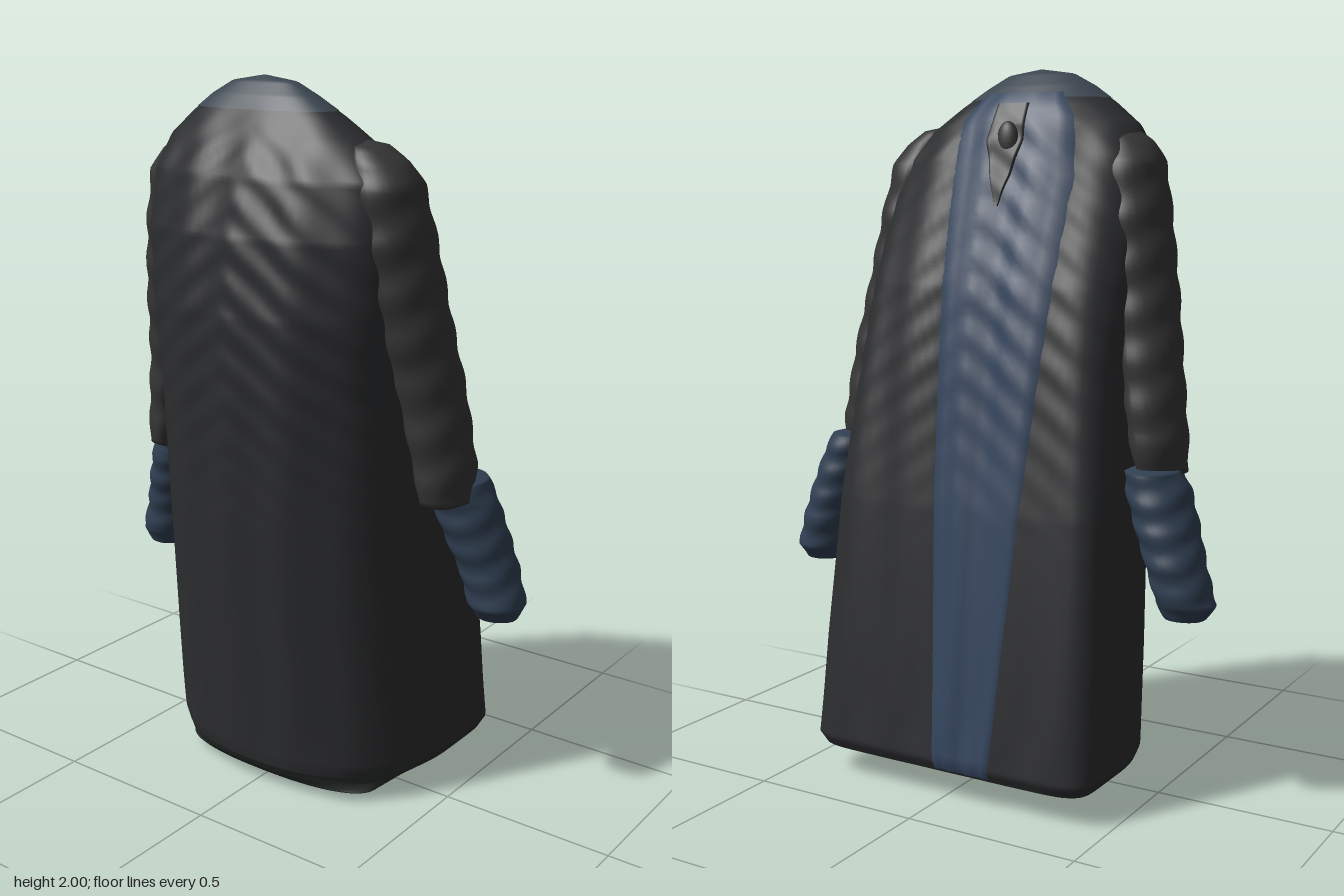
import * as THREE from 'three';

const charcoal = new THREE.MeshStandardMaterial({ color: 0x2c2d2f, side: THREE.DoubleSide });
const sleeveGrey = new THREE.MeshStandardMaterial({ color: 0x343534 });
const blue = new THREE.MeshStandardMaterial({ color: 0x34455e, side: THREE.DoubleSide });
const cuffBlue = new THREE.MeshStandardMaterial({ color: 0x303f52 });
const collarBlue = new THREE.MeshStandardMaterial({ color: 0x3c4650 });
const hemGreen = new THREE.MeshStandardMaterial({ color: 0x2a302d });

// Linear lookup in rows of [y, ...values]
function lookup(rows, y) {
  let i = 0;
  while (i < rows.length - 2 && y > rows[i + 1][0]) i++;
  const t = THREE.MathUtils.clamp((y - rows[i][0]) / (rows[i + 1][0] - rows[i][0]), 0, 1);
  return rows[i].map((v, k) => v + (rows[i + 1][k] - v) * t);
}

// Grid of points to an indexed surface; closed joins the last column to the first
function grid(rows, cols, closed, point) {
  const pos = [], idx = [], n = closed ? cols : cols + 1;
  for (let i = 0; i <= rows; i++)
    for (let j = 0; j < n; j++) pos.push(...point(i / rows, j / cols));
  for (let i = 0; i < rows; i++)
    for (let j = 0; j < cols; j++) {
      const k = (j + 1) % n, a = i * n + j, b = i * n + k;
      idx.push(a, a + n, b + n, a, b + n, b);
    }
  const g = new THREE.BufferGeometry();
  g.setAttribute('position', new THREE.Float32BufferAttribute(pos, 3));
  g.setIndex(idx);
  g.computeVertexNormals();
  return g;
}

// Coat outline: y, back x, front x, widest x, half width, centre z, front squareness
const coat = [
  [0, -0.17, -0.12, -0.15, 0.001, -0.02, 2],
  [0.006, -0.2, -0.09, -0.15, 0.24, 0.01, 2],
  [0.03, -0.24, -0.04, -0.13, 0.33, 0.01, 3],
  [0.055, -0.265, 0.15, 0, 0.38, 0, 5],
  [0.08, -0.28, 0.345, 0.12, 0.43, 0, 9],
  [0.11, -0.285, 0.36, 0.13, 0.445, 0, 9],
  [0.4, -0.31, 0.325, 0.11, 0.44, 0, 8],
  [0.8, -0.345, 0.275, 0.07, 0.425, 0, 7],
  [1.2, -0.37, 0.21, 0, 0.405, 0, 4.5],
  [1.4, -0.37, 0.17, -0.05, 0.41, 0, 3.4],
  [1.6, -0.345, 0.11, -0.1, 0.41, -0.005, 2.6],
  [1.75, -0.3, 0.06, -0.12, 0.39, -0.01, 2.2],
  [1.84, -0.25, 0.03, -0.125, 0.32, -0.03, 2],
  [1.9, -0.215, 0, -0.13, 0.24, -0.04, 2],
  [1.95, -0.185, -0.05, -0.13, 0.165, -0.045, 2],
  [1.985, -0.155, -0.09, -0.13, 0.1, -0.045, 2],
  [2, -0.13, -0.129, -0.13, 0.001, -0.045, 2],
];

// Shallow cloth folds: vertical pleats all over, chevrons on the upper half
function fold(y, z) {
  const { smoothstep } = THREE.MathUtils;
  const env = smoothstep(y, 0.05, 0.25) * (1 - smoothstep(y, 1.8, 1.95));
  const chevron = 0.003 * smoothstep(y, 0.6, 1.5) * Math.sin(60 * y + 45 * Math.abs(z));
  return env * (0.005 * Math.cos(36 * z + 0.8 * Math.sin(3 * y)) + chevron);
}

function coatPoint(y, a, grow) {
  const [, back, front, xc, w, zc, n] = lookup(coat, y);
  const c = Math.cos(a), s = Math.sin(a), p = c > 0 ? n : 2.35;
  const r = 1 / Math.pow(Math.abs(c) ** p + Math.abs(s) ** p, 1 / p);
  const z = zc + s * r * (w + grow);
  return [xc + c * r * ((c > 0 ? front - xc : xc - back) + grow + fold(y, z)), y, z];
}

// x of the coat front at a given height and z
function frontX(y, z) {
  const [, , front, xc, w, zc, n] = lookup(coat, y);
  const q = Math.min(1, Math.abs(z - zc) / w);
  return xc + Math.pow(1 - q ** n, 1 / n) * (front - xc + fold(y, z));
}

// Strip lying on the coat front, edges in rows of [y, z low, z high]
function frontStrip(edges, lift, ridges = 0) {
  const y0 = edges[0][0], y1 = edges[edges.length - 1][0];
  return grid(80, 16, false, (u, v) => {
    const y = y0 + (y1 - y0) * u, [, lo, hi] = lookup(edges, y);
    const z = lo + (hi - lo) * v;
    const edge = v === 0 || v === 1 ? -0.004 : lift;
    return [frontX(y, z) + edge + ridges * Math.cos(v * Math.PI * 6), y, z];
  });
}

// Limb from rows of [y, centre x, centre z, radius x, radius z], flatter on the body side
function limb(rows, side, ripple, pitch, inner) {
  const y0 = rows[0][0], y1 = rows[rows.length - 1][0];
  return grid(72, 32, true, (u, v) => {
    const y = y0 + (y1 - y0) * u, [, x, z, rx, rz] = lookup(rows, y);
    const a = v * Math.PI * 2, c = Math.cos(a), s = Math.sin(a);
    const k = 1 + ripple * Math.sin(pitch * y + 4 * Math.abs(c));
    return [x + rx * c * k, y, side * z + rz * s * k * (s * side < 0 ? inner : 1)];
  });
}

export function createModel() {
  const model = new THREE.Group();
  const add = (name, geometry, material) => {
    const m = new THREE.Mesh(geometry, material);
    m.name = name;
    model.add(m);
    return m;
  };
  const coatSpan = (y0, y1, rows, grow) =>
    grid(rows, 112, true, (u, v) => coatPoint(y0 + (y1 - y0) * u, v * Math.PI * 2, grow));

  // Long coat, its underside and the collar cap
  add('coatBody', coatSpan(0.08, 1.92, 190, 0), charcoal);
  add('underside', coatSpan(0, 0.08, 32, 0), hemGreen);
  add('collar', coatSpan(1.915, 2, 24, 0.003), collarBlue);

  // Blue front panel narrowing towards the hem
  add('frontPanel', frontStrip([
    [0.09, -0.16, 0.02], [0.8, -0.21, 0.07], [1.3, -0.24, 0.1], [1.7, -0.25, 0.13], [1.86, -0.22, 0.14], [1.93, -0.17, 0.09],
  ], 0.006, 0.002), blue);

  // Dark neck opening with a knot
  add('neckOpening', frontStrip([[1.62, -0.04, -0.03], [1.8, -0.09, 0.03], [1.9, -0.085, 0.02]], 0.011), charcoal);
  const knot = add('neckKnot', new THREE.SphereGeometry(1, 20, 14), sleeveGrey);
  knot.scale.set(0.025, 0.06, 0.035);
  knot.position.set(0.04, 1.79, -0.035);

  // Sleeves from the shoulders, and blue cuffs with closed hands
  for (const side of [1, -1]) {
    const label = side > 0 ? 'left' : 'right';
    const back = side > 0 ? 0 : -0.025, drop = side > 0 ? 0 : -0.03;
    add(label + 'Sleeve', limb([
      [0.88, -0.03, 0.47, 0.001, 0.001], [0.9, -0.025, 0.475, 0.1, 0.075], [1, -0.02, 0.46, 0.11, 0.09],
      [1.2, -0.04, 0.425, 0.11, 0.1], [1.4, -0.075, 0.39, 0.12, 0.1], [1.6, -0.1, 0.355, 0.125, 0.1],
      [1.74, -0.115, 0.33, 0.11, 0.1], [1.8, -0.12, 0.305, 0.085, 0.085], [1.84, -0.12, 0.28, 0.05, 0.05],
      [1.85, -0.12, 0.27, 0.001, 0.001],
    ], side, 0.03, 50, 0.6), sleeveGrey);
    add(label + 'Cuff', limb([
      [0.55, 0.075, 0.59, 0.001, 0.001], [0.56, 0.075, 0.59, 0.055, 0.06], [0.6, 0.075, 0.59, 0.08, 0.085],
      [0.7, 0.075, 0.56, 0.09, 0.085], [0.8, 0.06, 0.525, 0.1, 0.09], [0.9, 0.045, 0.49, 0.105, 0.09],
      [0.95, 0.045, 0.475, 0.095, 0.075], [0.96, 0.045, 0.47, 0.001, 0.001],
    ].map(([y, x, ...r]) => [y + drop, x + back, ...r]), side, 0.03, 80, 0.9), cuffBlue);
  }
  return model;
}
